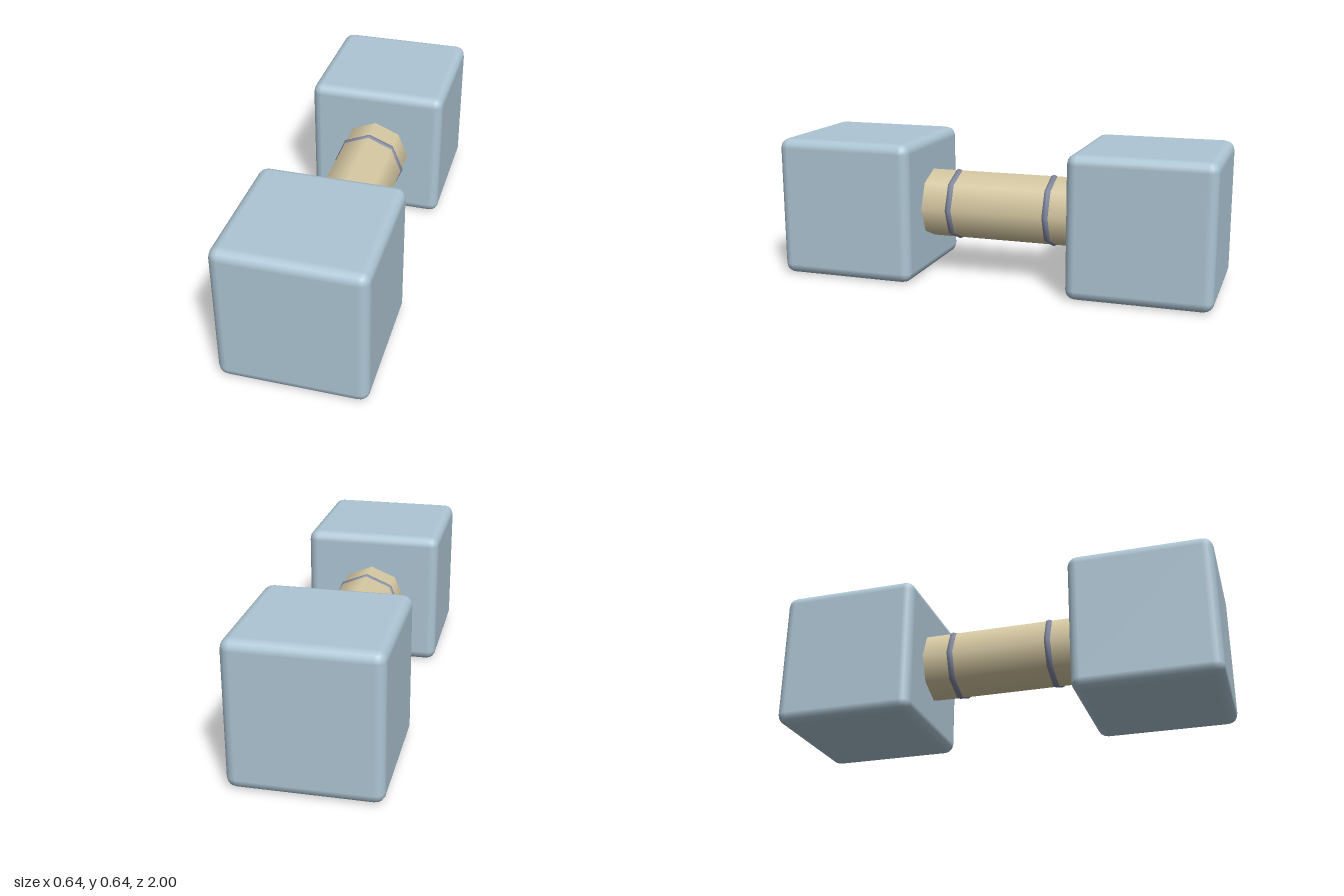
import * as THREE from 'three';
import { RoundedBoxGeometry } from 'three/addons/geometries/RoundedBoxGeometry.js';

const CUBE = 0.64;
const MID = CUBE / 2;

function material(name, color) {
  const m = new THREE.MeshStandardMaterial({ color });
  m.name = name;
  return m;
}

export function createModel() {
  const group = new THREE.Group();
  group.name = 'dumbbell';

  const paleBlue = material('paleBlue', 0xadc5d4);
  const sand = material('sand', 0xd7c9a3);
  const slate = material('slate', 0x80879f);

  function add(name, geometry, mat, z) {
    const mesh = new THREE.Mesh(geometry, mat);
    mesh.name = name;
    mesh.position.set(0, MID, z);
    group.add(mesh);
  }

  // Eight-sided grip with smooth normals, its ends sunk into the weights
  const grip = new THREE.CylinderGeometry(0.161, 0.161, 0.76, 8, 1, true);
  grip.rotateX(Math.PI / 2);
  add('handle', grip, sand, 0);

  // Rounded cube weights and thin collars, mirrored front to back
  const weight = new RoundedBoxGeometry(CUBE, CUBE, CUBE, 2, 0.045);
  const collar = new THREE.TorusGeometry(0.149, 0.019, 8, 8);
  for (const [end, side] of [['front', 1], ['back', -1]]) {
    add(end + 'Weight', weight, paleBlue, side * 0.68);
    add(end + 'Collar', collar, slate, side * 0.23);
  }

  return group;
}
